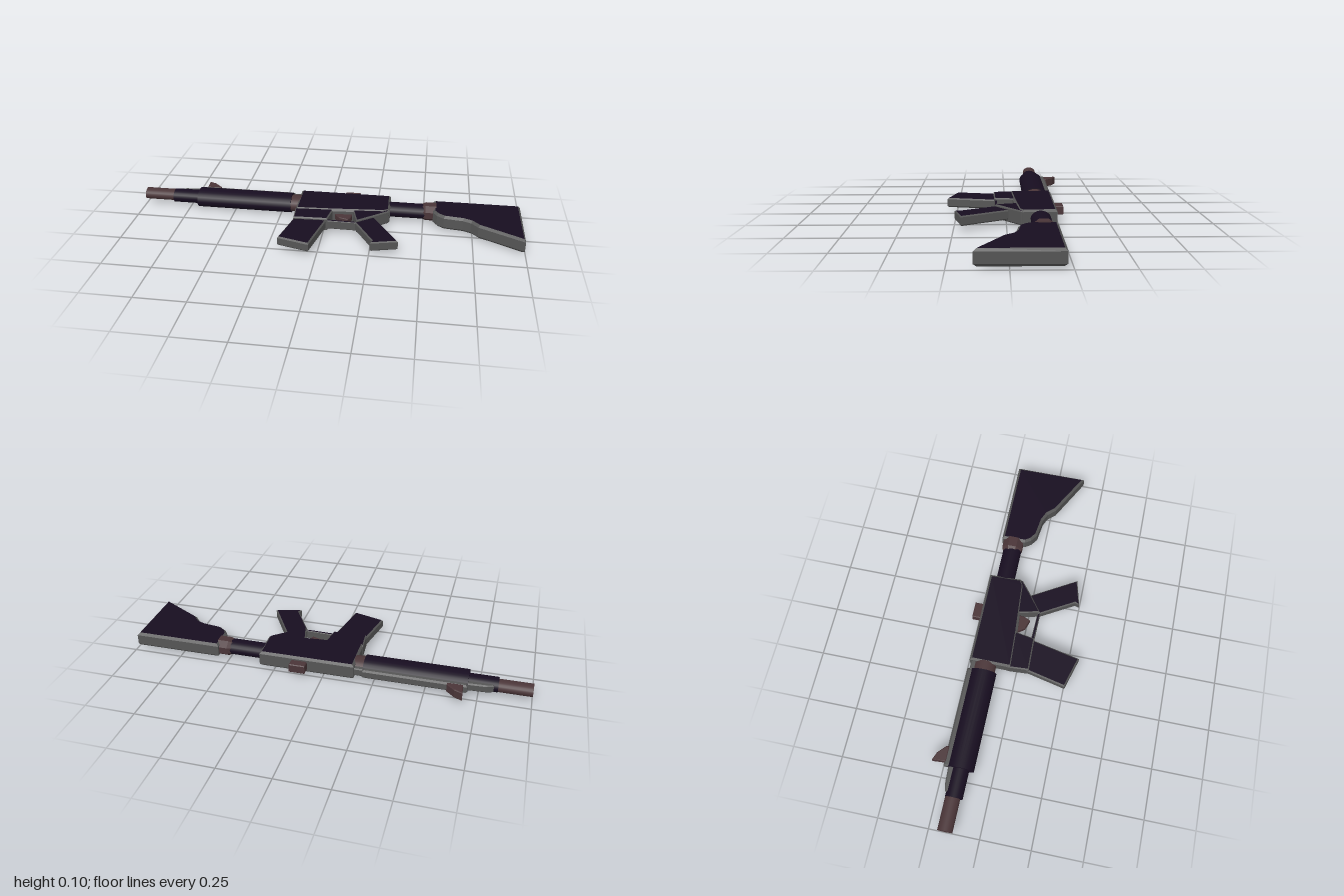
import * as THREE from 'three';

const MID = 0.049;   // mid-thickness height
const AXIS = -0.16;  // z of the barrel line

const mat = (color, flatShading = false) => new THREE.MeshStandardMaterial({ color, flatShading });
const dark = mat(0x170d20), darkFlat = mat(0x170d20, true);
const grey = mat(0x555555, true), brown = mat(0x4a3538), brownFlat = mat(0x4a3538, true);

export function createModel() {
  const model = new THREE.Group();

  // Bevelled plate from an [x, z] outline, lying flat between two heights
  const plate = (name, outline, bottom, top, bevel, face = darkFlat, rim = grey) => {
    const shape = new THREE.Shape(outline.map(([x, z]) => new THREE.Vector2(x, -z)));
    const geo = new THREE.ExtrudeGeometry(shape, {
      depth: top - bottom - 2 * bevel, bevelEnabled: bevel > 0, bevelThickness: bevel,
      bevelSize: bevel, bevelOffset: -bevel, bevelSegments: 1,
    });
    geo.translate(0, 0, bevel).rotateX(-Math.PI / 2).translate(0, bottom, 0);
    const mesh = new THREE.Mesh(geo, [face, rim]);
    mesh.name = name;
    model.add(mesh);
  };

  // Tube along x with an oval section
  const tube = (name, x0, x1, rz, ry, material, z = AXIS) => {
    const geo = new THREE.CylinderGeometry(1, 1, x1 - x0, 24).rotateZ(Math.PI / 2);
    geo.scale(1, ry, rz).translate((x0 + x1) / 2, MID, z);
    const mesh = new THREE.Mesh(geo, material);
    mesh.name = name;
    model.add(mesh);
  };

  const rect = (x0, x1, z0, z1) => [[x0, z0], [x1, z0], [x1, z1], [x0, z1]];

  // Barrel line
  tube('barrel', -1, -0.82, 0.037, 0.029, brown, -0.165);
  tube('barrelSleeve', -0.84, -0.68, 0.043, 0.034, dark);
  tube('handguard', -0.7, -0.195, 0.066, 0.048, dark);
  tube('handguardCollar', -0.205, -0.145, 0.056, 0.041, brown);
  tube('bufferTube', 0.31, 0.52, 0.048, 0.036, dark);

  // Flat strips along the upper edge
  plate('sleeveRail', [[-0.82, -0.205], [-0.79, -0.215], [-0.69, -0.22], [-0.69, -0.18], [-0.82, -0.18]],
    0.029, 0.069, 0.006, grey);
  plate('handguardRail', rect(-0.7, -0.195, -0.243, -0.19), 0.027, 0.071, 0.008, grey);
  plate('collarRail', rect(-0.2, -0.15, -0.232, -0.19), 0.029, 0.069, 0.005, grey);

  // Sights
  plate('frontSight', [[-0.685, -0.305], [-0.645, -0.288], [-0.605, -0.25], [-0.605, -0.235], [-0.68, -0.235]],
    0.027, 0.072, 0.004, brownFlat, brownFlat);
  plate('rearSight', rect(0.08, 0.16, -0.282, -0.225), 0.027, 0.072, 0.004, brownFlat, brownFlat);

  // Receiver and magazine well
  plate('receiver', [[-0.155, -0.24], [0.325, -0.24], [0.33, -0.075], [0.3, -0.055], [0.04, -0.035], [-0.155, -0.025]],
    0.01, 0.09, 0.011);
  plate('magazineWell', [[-0.157, -0.045], [0.04, -0.055], [0.022, 0.058], [-0.15, 0.063]], 0.014, 0.085, 0.006);
  plate('magazine', [[-0.15, 0.045], [0.018, 0.04], [-0.036, 0.3], [-0.196, 0.255]], 0.026, 0.074, 0.007);

  // Trigger group
  plate('gripMount', [[0.14, -0.06], [0.325, -0.08], [0.325, -0.065], [0.26, -0.012], [0.17, 0.056]], 0.014, 0.085, 0.006);
  plate('triggerGuard', [[0.015, 0.04], [0.16, 0.045], [0.17, 0.058], [0.015, 0.056]], 0.027, 0.072, 0.003);
  plate('trigger', [[0.04, -0.05], [0.14, -0.05], [0.135, -0.015], [0.122, 0.014], [0.075, -0.002]],
    0.034, 0.064, 0.003, brownFlat, brownFlat);
  plate('grip', [[0.16, 0.05], [0.25, -0.02], [0.388, 0.214], [0.255, 0.248], [0.262, 0.225], [0.25, 0.205]],
    0.026, 0.074, 0.006);

  // Stock with its turned collar
  const ring = [[0, 0.49], [0.045, 0.49], [0.057, 0.51], [0.057, 0.565], [0, 0.565]];
  const collar = new THREE.Mesh(
    new THREE.LatheGeometry(ring.map(([r, x]) => new THREE.Vector2(r, x)), 8, Math.PI / 8)
      .rotateZ(-Math.PI / 2).scale(1, 0.78, 1).translate(0, MID, -0.163),
    brownFlat);
  collar.name = 'stockCollar';
  model.add(collar);
  plate('stock', [[0.55, -0.225], [0.995, -0.225], [0.995, 0.142], [0.775, 0.025], [0.74, -0.014],
    [0.7, -0.032], [0.605, -0.045], [0.57, -0.07], [0.55, -0.1]], 0.012, 0.086, 0.012);

  return model;
}
